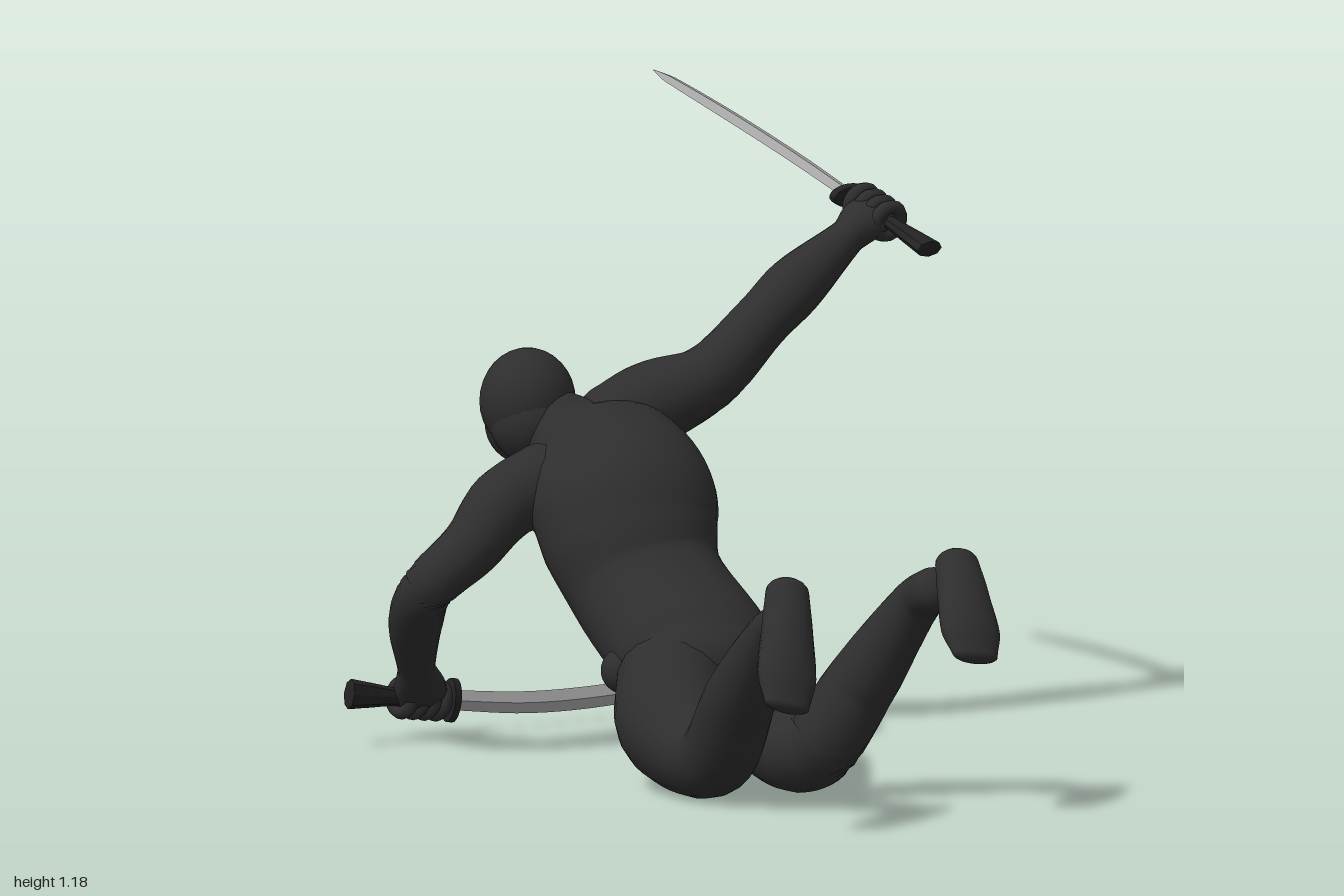
import * as THREE from 'three';

const V = (a) => new THREE.Vector3(...a);
const material = (name, color) => {
  const m = new THREE.MeshStandardMaterial({ color });
  m.name = name;
  return m;
};

// Smooth skin over elliptical sections [x, y, z, halfWidth, halfDepth], with rounded ends.
// axisA and axisB give the width direction at the start and the end.
function loft(name, mat, secs, { axisA = [0.3, 1, 0.2], axisB = axisA, sides = 20, steps = 6, cap = 0.8, flat = false } = {}) {
  const path = new THREE.CatmullRomCurve3(secs.map(V), false, 'centripetal');
  const size = new THREE.CatmullRomCurve3(secs.map((s) => new THREE.Vector3(s[3], s[4] ?? s[3], 0)), false, 'catmullrom', 0.4);
  const n = (secs.length - 1) * steps;
  const rings = [];
  const ring = (t, push, k) => {
    const tan = path.getTangent(t);
    const s = size.getPoint(t).multiplyScalar(k);
    const w = V(axisA).lerp(V(axisB), t);
    w.addScaledVector(tan, -w.dot(tan)).normalize();
    rings.push({ c: path.getPoint(t).addScaledVector(tan, push), w, d: tan.clone().cross(w), s });
  };
  const capLength = ([, , , w, d = w]) => Math.min(w, d) * cap;
  const r0 = capLength(secs[0]), r1 = capLength(secs[secs.length - 1]);
  for (let i = 5; i > 0; i--) ring(0, -r0 * Math.sin(i * Math.PI / 10), Math.max(0.001, Math.cos(i * Math.PI / 10)));
  for (let i = 0; i <= n; i++) ring(i / n, 0, 1);
  for (let i = 1; i <= 5; i++) ring(1, r1 * Math.sin(i * Math.PI / 10), Math.max(0.001, Math.cos(i * Math.PI / 10)));

  const pos = [], idx = [];
  rings.forEach(({ c, w, d, s }, i) => {
    for (let j = 0; j < sides; j++) {
      const a = (j / sides) * Math.PI * 2;
      const p = c.clone().addScaledVector(w, Math.cos(a) * s.x).addScaledVector(d, Math.sin(a) * s.y);
      pos.push(p.x, p.y, p.z);
      if (i === rings.length - 1) continue;
      const k = (j + 1) % sides, A = i * sides, B = A + sides;
      idx.push(A + j, A + k, B + k, A + j, B + k, B + j);
    }
  });
  let g = new THREE.BufferGeometry();
  g.setAttribute('position', new THREE.Float32BufferAttribute(pos, 3));
  g.setIndex(idx);
  if (flat) g = g.toNonIndexed();
  g.computeVertexNormals();
  const mesh = new THREE.Mesh(g, mat);
  mesh.name = name;
  return mesh;
}

function ball(name, mat, centre, radii) {
  const mesh = new THREE.Mesh(new THREE.SphereGeometry(1, 24, 16), mat);
  mesh.position.set(...centre);
  mesh.scale.set(...radii);
  mesh.name = name;
  return mesh;
}

// Curved sword with the fist that holds it
function swordAndHand(side, mats, { end, guard, mid, tip, flatAxis, wrist }) {
  const group = new THREE.Group();
  group.name = side + 'SwordAndHand';
  const E = V(end), G = V(guard), dir = G.clone().sub(E).normalize();
  const at = (t, r, d) => [...E.clone().lerp(G, t).toArray(), r, d];
  const toZ = new THREE.Quaternion().setFromUnitVectors(new THREE.Vector3(0, 0, 1), dir);

  // Blade bowed through its middle point
  const control = V(mid).multiplyScalar(2).addScaledVector(G, -0.5).addScaledVector(V(tip), -0.5);
  const bow = new THREE.QuadraticBezierCurve3(G, control, V(tip));
  const bladeAt = (t, w, d) => [...bow.getPoint(t).toArray(), w, d];
  group.add(loft('blade', mats.steel, [
    bladeAt(0, 0.019, 0.008), bladeAt(0.33, 0.021, 0.008), bladeAt(0.66, 0.021, 0.008), bladeAt(0.93, 0.016, 0.006), bladeAt(1, 0.002, 0.001),
  ], { axisA: flatAxis, sides: 4, cap: 0.1, flat: true }));
  group.add(loft('handle', mats.grip, [at(0, 0.029, 0.016), at(0.15, 0.025, 0.015), at(0.5, 0.017, 0.012), at(1, 0.02, 0.013)],
    { axisA: flatAxis, sides: 8, cap: 0.1, flat: true }));
  group.add(loft('guard', mats.grip, [at(0.97, 0.042, 0.021), at(1.03, 0.042, 0.021)], { axisA: flatAxis, cap: 0.1, flat: true }));

  // Palm, then four fingers and a thumb closed around the handle
  const grip = E.clone().lerp(G, 0.7);
  const W = V(wrist);
  const palm = W.clone().lerp(grip, 0.6);
  group.add(loft('palm', mats.cloth, [
    [...wrist, 0.035], [...palm.toArray(), 0.05, 0.036], [...W.clone().lerp(grip, 0.9).toArray(), 0.053, 0.032],
  ], { axisA: dir.toArray() }));
  for (let i = 0; i < 4; i++) {
    const finger = new THREE.Mesh(new THREE.TorusGeometry(0.029, 0.0135, 8, 18), mats.cloth);
    finger.name = 'finger';
    finger.position.copy(E).lerp(G, 0.52 + i * 0.11);
    finger.quaternion.copy(toZ);
    group.add(finger);
  }
  const thumbTip = E.clone().lerp(G, 0.9).addScaledVector(V(flatAxis), 0.028);
  group.add(loft('thumb', mats.cloth, [[...palm.toArray(), 0.02], [...thumbTip.toArray(), 0.012]], { sides: 10 }));
  return group;
}

export function createModel() {
  const model = new THREE.Group();
  const cloth = material('darkCloth', 0x2e2e2e);
  const grip = material('blackGrip', 0x222222);
  const steel = material('steel', 0xa6a6a6);
  const mats = { cloth, grip, steel };

  // Torso, leaning forward and twisted at the waist
  model.add(loft('torso', cloth, [
    [0.045, 0.195, 0.16, 0.14, 0.105], [0.01, 0.232, 0.1, 0.158, 0.12], [-0.1, 0.337, -0.018, 0.152, 0.126],
    [-0.14, 0.418, -0.062, 0.172, 0.138], [-0.165, 0.485, -0.105, 0.182, 0.142], [-0.225, 0.555, -0.175, 0.165, 0.106],
    [-0.28, 0.585, -0.215, 0.1, 0.074], [-0.34, 0.625, -0.245, 0.062, 0.062],
  ], { axisA: [0.25, 0, -0.13], axisB: [0.23, 0.16, -0.26], sides: 32 }));

  // Hooded head
  model.add(ball('head', cloth, [-0.375, 0.65, -0.26], [0.091, 0.1, 0.098]));
  model.add(ball('jaw', cloth, [-0.385, 0.605, -0.285], [0.076, 0.08, 0.077]));
  model.add(ball('nape', cloth, [-0.365, 0.615, -0.235], [0.078, 0.08, 0.076]));

  // Arms
  model.add(loft('leftArm', cloth, [
    [-0.21, 0.6, -0.27, 0.085], [-0.145, 0.642, -0.312, 0.082], [-0.04, 0.693, -0.326, 0.064], [0.05, 0.793, -0.39, 0.055],
    [0.105, 0.855, -0.45, 0.057], [0.19, 0.94, -0.54, 0.035],
  ]));
  model.add(loft('rightArm', cloth, [
    [-0.31, 0.52, -0.1, 0.075], [-0.38, 0.48, -0.045, 0.07], [-0.434, 0.405, 0.01, 0.058], [-0.508, 0.333, 0.05, 0.051],
    [-0.545, 0.26, -0.02, 0.052], [-0.565, 0.15, -0.13, 0.035],
  ]));

  // Legs, kneeling with the shins raised behind
  model.add(loft('rightLeg', cloth, [
    [-0.015, 0.18, 0.17, 0.108], [0.02, 0.125, 0.33, 0.111], [0.1, 0.085, 0.48, 0.08],
    [0.14, 0.1, 0.53, 0.075], [0.2, 0.22, 0.63, 0.069], [0.29, 0.37, 0.765, 0.045], [0.315, 0.385, 0.805, 0.044],
  ]));
  model.add(loft('leftLeg', cloth, [
    [0.1, 0.2, 0.08, 0.105], [0.185, 0.125, 0.24, 0.103], [0.27, 0.085, 0.38, 0.078],
    [0.31, 0.1, 0.41, 0.074], [0.39, 0.22, 0.41, 0.069], [0.51, 0.39, 0.46, 0.047], [0.55, 0.42, 0.51, 0.044],
  ]));
  model.add(ball('leftHip', cloth, [0.16, 0.21, 0.035], [0.045, 0.045, 0.045]));
  model.add(ball('rightHip', cloth, [-0.11, 0.2, 0.16], [0.045, 0.045, 0.045]));

  // Feet from heel to toe
  const foot = (name, heel, toe, axis) => {
    const at = (t, w, d) => [...V(heel).lerp(V(toe), t).toArray(), w, d];
    model.add(loft(name, cloth, [at(0.1, 0.043, 0.036), at(0.35, 0.05, 0.042), at(0.72, 0.06, 0.033), at(0.94, 0.047, 0.018)],
      { axisA: axis }));
  };
  foot('rightFoot', [0.325, 0.475, 0.81], [0.355, 0.245, 0.98], [0.75, -0.1, -0.6]);
  foot('leftFoot', [0.59, 0.49, 0.505], [0.66, 0.305, 0.655], [0.65, -0.15, -0.45]);

  // Raised sword and low sword
  model.add(swordAndHand('left', mats, {
    end: [0.355, 0.925, -0.495], guard: [0.17, 1.0, -0.66], mid: [-0.035, 1.083, -0.845], tip: [-0.27, 1.18, -1.0],
    flatAxis: [0.6, 0.05, -0.8], wrist: [0.19, 0.94, -0.54],
  }));
  model.add(swordAndHand('right', mats, {
    end: [-0.685, 0.105, -0.085], guard: [-0.525, 0.07, -0.28], mid: [-0.33, 0.049, -0.48], tip: [-0.12, 0.07, -0.7],
    flatAxis: [0, 1, 0], wrist: [-0.565, 0.15, -0.13],
  }));
  return model;
}
